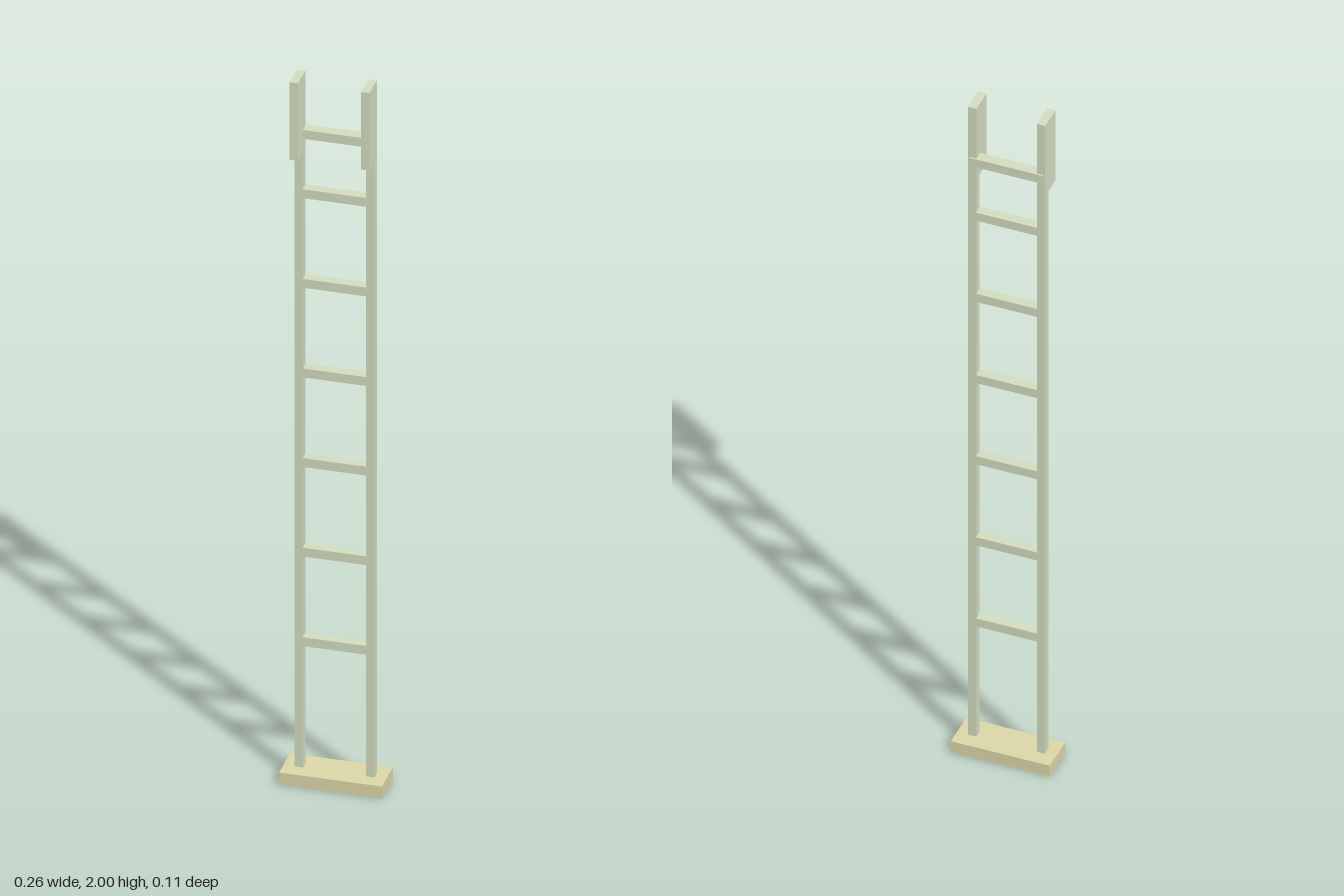
import * as THREE from 'three';

export function createModel() {
  const model = new THREE.Group();
  model.name = 'ladder';
  const green = new THREE.MeshStandardMaterial({ color: 0xd2dcc0 });
  const sand = new THREE.MeshStandardMaterial({ color: 0xdcd6a8 });

  // Box given by its extents along each axis
  const box = (name, [x0, x1], [y0, y1], [z0, z1], material = green) => {
    const mesh = new THREE.Mesh(new THREE.BoxGeometry(x1 - x0, y1 - y0, z1 - z0), material);
    mesh.position.set((x0 + x1) / 2, (y0 + y1) / 2, (z0 + z1) / 2);
    mesh.name = name;
    model.add(mesh);
  };

  // Foot slab
  box('base', [-0.133, 0.132], [0, 0.034], [-0.055, 0.048], sand);

  // Side rails, each with a deeper mounting plate at the top
  for (const [side, x] of [['right', [-0.104, -0.082]], ['left', [0.08, 0.102]]]) {
    box(side + 'Rail', x, [0.034, 1.78], [-0.014, 0.008]);
    box(side + 'TopPlate', x, [1.78, 2], [-0.014, 0.054]);
  }

  // Evenly spaced rungs between the rails
  for (let i = 0; i < 6; i++) {
    const y = 0.393 + i * 0.2542;
    box('rung' + (i + 1), [-0.083, 0.081], [y - 0.0125, y + 0.0125], [-0.016, 0.011]);
  }

  // Top rung, lapping over the backs of the rails
  box('topRung', [-0.1, 0.098], [1.82, 1.845], [-0.018, 0.011]);

  return model;
}
